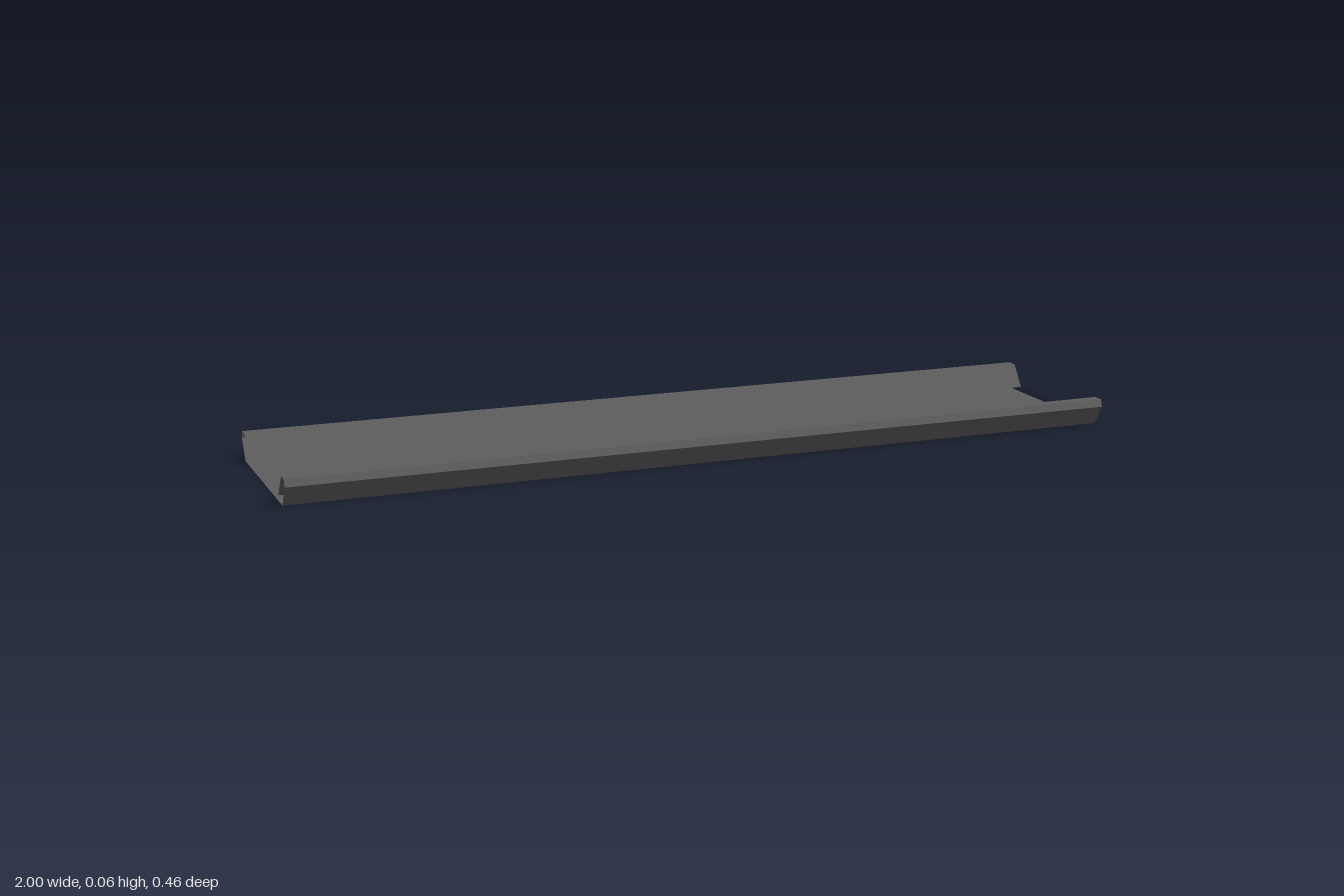
import * as THREE from 'three';

const LENGTH = 2;

// Thin sheet swept along x from a folded [z, y] profile, one flat strip per fold
function foldedSheet(name, profile, material) {
  const positions = [];
  const h = LENGTH / 2;
  for (let i = 0; i < profile.length - 1; i++) {
    const [z0, y0] = profile[i];
    const [z1, y1] = profile[i + 1];
    const a = [-h, y0, z0], b = [h, y0, z0], c = [h, y1, z1], d = [-h, y1, z1];
    positions.push(...a, ...b, ...c, ...a, ...c, ...d);
  }
  const geometry = new THREE.BufferGeometry();
  geometry.setAttribute('position', new THREE.Float32BufferAttribute(positions, 3));
  geometry.computeVertexNormals();
  const mesh = new THREE.Mesh(geometry, material);
  mesh.name = name;
  return mesh;
}

export function createModel() {
  const group = new THREE.Group();
  group.name = 'foldedChannel';
  const material = new THREE.MeshStandardMaterial({
    color: 0x5e5e5e, flatShading: true, side: THREE.DoubleSide,
  });

  // Flat floor of the channel
  group.add(foldedSheet('floor', [[0.2, 0], [-0.2, 0]], material));

  // Outward-leaning wall, bevel, flat top, and lip folded back inside
  const rail = [[0.2, 0], [0.231, 0.048], [0.225, 0.065], [0.198, 0.065], [0.161, 0.013]];
  const front = foldedSheet('frontRail', rail, material);
  const back = foldedSheet('backRail', rail, material);
  back.rotation.y = Math.PI;
  group.add(front, back);

  return group;
}
